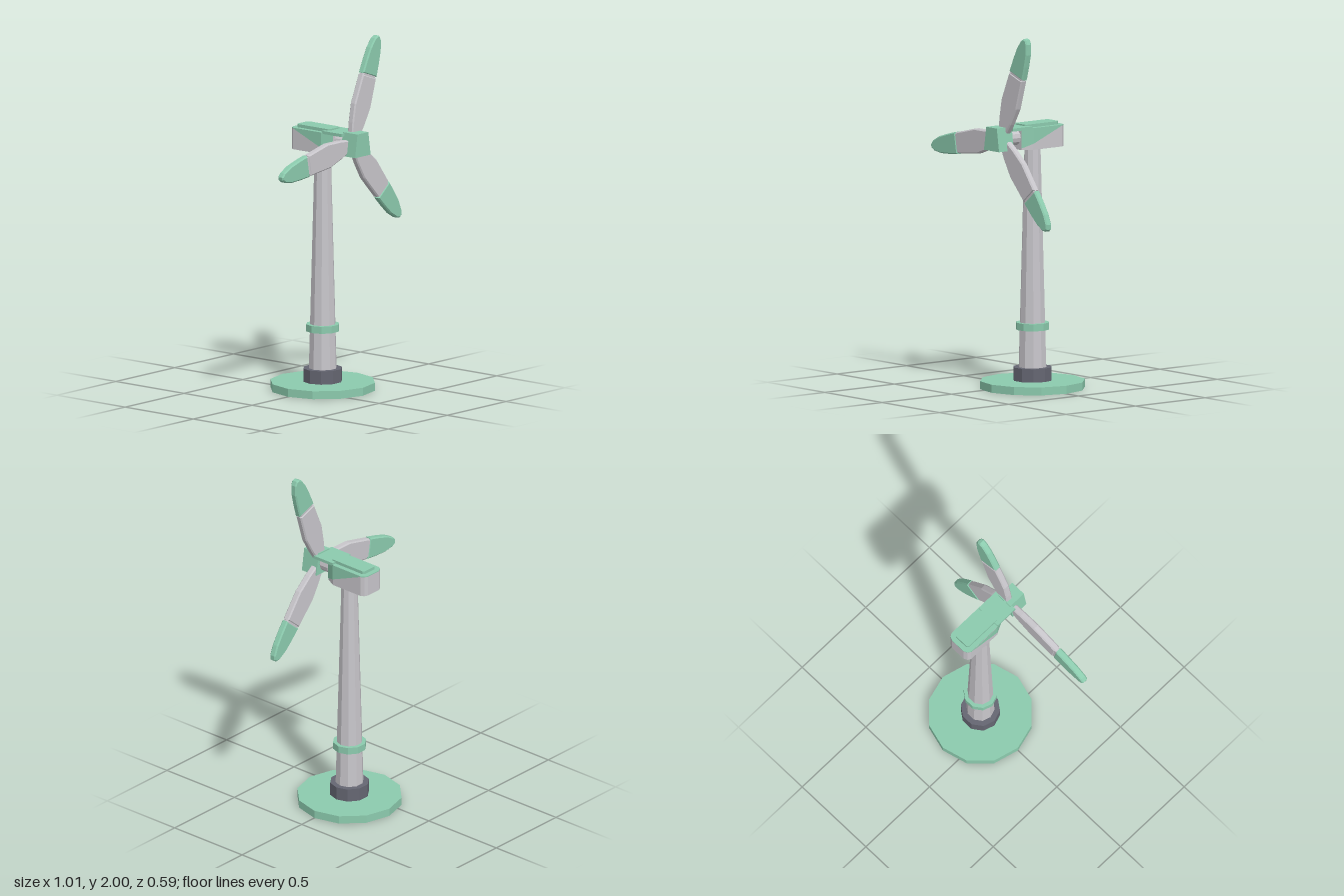
import * as THREE from 'three';

const green = new THREE.MeshStandardMaterial({ name: 'green', color: 0x8ccbae });
const grey = new THREE.MeshStandardMaterial({ name: 'lightGrey', color: 0xc8c6cb });
const dark = new THREE.MeshStandardMaterial({ name: 'darkGrey', color: 0x656672 });

const CX = 0.1; // tower axis

export function createModel() {
  const root = new THREE.Group();
  root.name = 'windTurbine';

  function add(parent, name, geometry, material, x = 0, y = 0, z = 0) {
    const geo = geometry.index ? geometry.toNonIndexed() : geometry;
    geo.computeVertexNormals(); // faceted look
    const mesh = new THREE.Mesh(geo, material);
    mesh.name = name;
    mesh.position.set(x, y, z);
    parent.add(mesh);
    return mesh;
  }
  const shapeOf = (pts) => new THREE.Shape(pts.map(([x, y]) => new THREE.Vector2(x, y)));

  // Upright prism with a corner on +x
  function prism(name, rTop, rBottom, y0, y1, sides, material) {
    const g = new THREE.CylinderGeometry(rTop, rBottom, y1 - y0, sides);
    g.rotateY(Math.PI / 2);
    add(root, name, g, material, CX, (y0 + y1) / 2, 0);
  }
  prism('base', 0.295, 0.295, 0, 0.045, 12, green);
  prism('towerFoot', 0.11, 0.11, 0.045, 0.12, 10, dark);
  prism('tower', 0.046, 0.079, 0.12, 1.36, 10, grey);
  prism('towerRing', 0.094, 0.094, 0.33, 0.37, 10, green);

  // Horizontal slab from a half outline [x, z], mirrored across the tower axis
  function slab(parent, name, half, y0, y1, material) {
    const pts = [...half, ...half.map(([x, z]) => [-x, z]).reverse()];
    const g = new THREE.ExtrudeGeometry(shapeOf(pts.map(([x, z]) => [x, -z])),
      { depth: y1 - y0, bevelEnabled: false });
    g.rotateX(-Math.PI / 2);
    return add(parent, name, g, material, CX, y0, 0);
  }

  // Nacelle: grey body, green lid and raised hatch
  const nacelle = new THREE.Group();
  nacelle.name = 'nacelle';
  root.add(nacelle);
  const bodyHalf = [[0.045, 0.115], [0.077, 0.055], [0.077, -0.15], [0.066, -0.168], [0.045, -0.178]];
  slab(nacelle, 'nacelleBody', bodyHalf, 1.35, 1.467, grey);
  slab(nacelle, 'nacelleLid', bodyHalf, 1.467, 1.472, green);
  slab(nacelle, 'roofHatch', [[0.04, 0.09], [0.05, 0.08], [0.05, -0.14], [0.04, -0.15]], 1.472, 1.49, green);
  slab(nacelle, 'frontCover', [[0.074, 0.2], [0.074, 0.06]], 1.465, 1.482, green);

  // Diagonal green paint on both sides of the nacelle
  for (const s of [1, -1]) {
    const o = 0.002;
    const x = 0.077 + o;
    const a = [x, 1.385, 0.055], b = [x, 1.468, -0.148], c = [x, 1.468, 0.055];
    const d = [0.045 + o, 1.36, 0.115 + o], e = [0.045 + o, 1.468, 0.115 + o];
    const tris = [a, b, c, d, a, c, d, c, e];
    const order = s > 0 ? tris : [...tris].reverse();
    const g = new THREE.BufferGeometry();
    g.setAttribute('position', new THREE.Float32BufferAttribute(
      order.flatMap(([px, py, pz]) => [s * px, py, pz]), 3));
    add(nacelle, 'sidePaint', g, green, CX, 0, 0);
  }

  // Rotor shaft and bearing collar
  const shaft = new THREE.CylinderGeometry(0.038, 0.038, 0.12, 12).rotateX(Math.PI / 2);
  add(root, 'rotorShaft', shaft, grey, CX, 1.42, 0.15);
  const collar = new THREE.CylinderGeometry(0.046, 0.046, 0.055, 12).rotateX(Math.PI / 2);
  add(root, 'shaftCollar', collar, grey, CX, 1.42, 0.152);

  // Hub: tapered block
  const hub = new THREE.ExtrudeGeometry(
    shapeOf([[-0.066, 1.357], [0.066, 1.357], [0.046, 1.488], [-0.046, 1.488]]),
    { depth: 0.107, bevelEnabled: false });
  add(root, 'hub', hub, green, CX, 0, 0.188);

  // Blades: bevelled plates lying along +x, then turned into place
  const bevel = 0.007, thick = 0.04;
  function bladePart(parent, name, half, material, inset = 0) {
    const pts = [...half.map(([u, v]) => [u, -v]), ...[...half].reverse()];
    const g = new THREE.ExtrudeGeometry(shapeOf(pts), {
      depth: thick - 2 * bevel - 2 * inset, bevelThickness: bevel, bevelSize: bevel,
      bevelOffset: -bevel - inset, bevelSegments: 1,
    });
    g.translate(0, 0, -(thick - 2 * bevel - 2 * inset) / 2);
    add(parent, name, g, material);
  }
  for (const angle of [70, 190, 310]) {
    const blade = new THREE.Group();
    blade.name = 'blade';
    bladePart(blade, 'bladeRoot', [[0.025, 0.03], [0.11, 0.052], [0.215, 0.07], [0.386, 0.06]], grey);
    bladePart(blade, 'bladeJoint', [[0.36, 0.061], [0.42, 0.059]], grey, 0.004);
    bladePart(blade, 'bladeTip',
      [[0.392, 0.062], [0.47, 0.056], [0.54, 0.047], [0.597, 0.028], [0.617, 0.009]], green);
    blade.position.set(CX, 1.42, 0.214);
    blade.rotation.z = THREE.MathUtils.degToRad(angle);
    root.add(blade);
  }

  return root;
}
